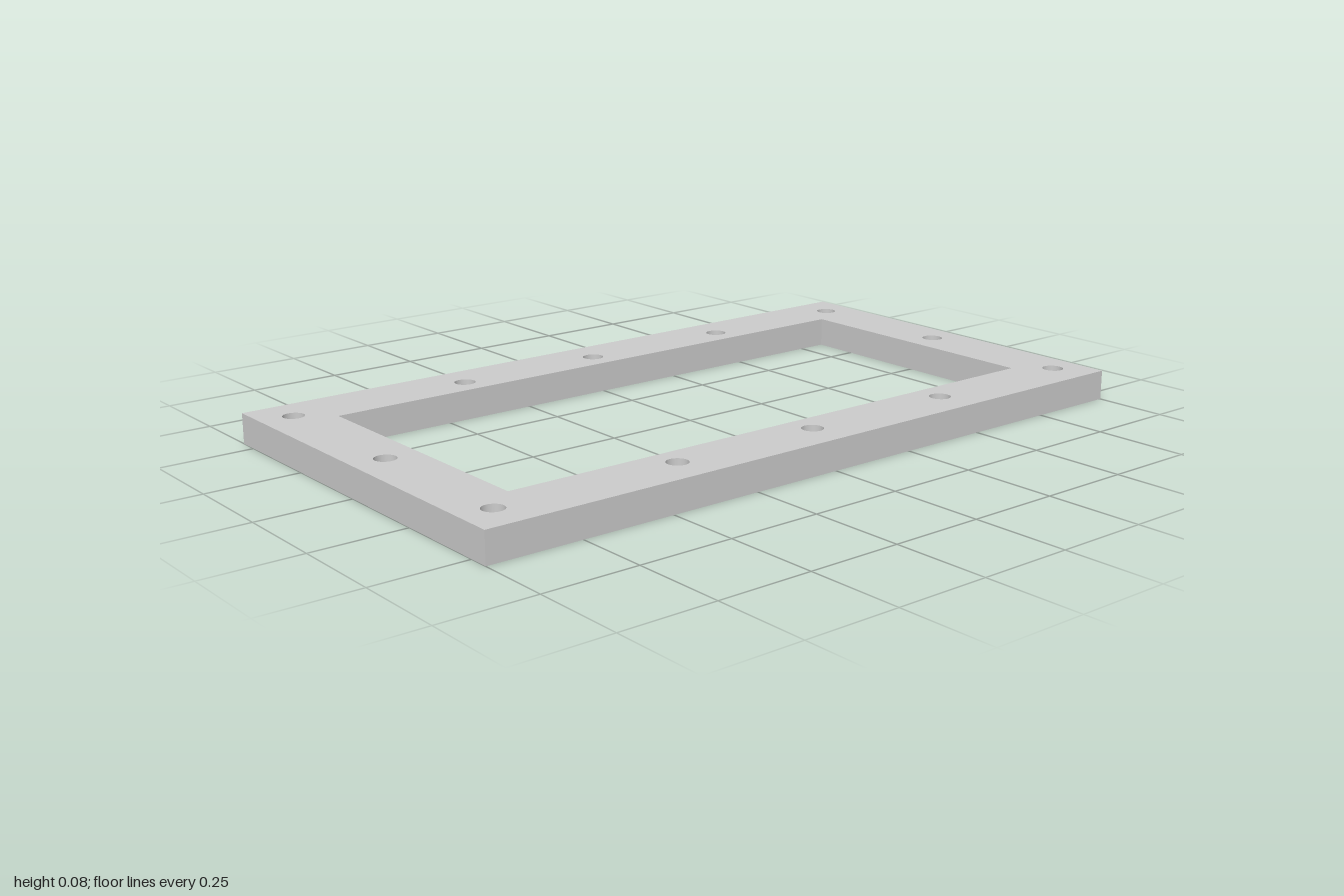
import * as THREE from 'three';

const THICKNESS = 0.08;
const HOLE_RADIUS = 0.028;

// Traces a rectangle; shape y is -z of the finished plate
function rectangle(path, halfWidth, zBack, zFront) {
  path.moveTo(-halfWidth, -zFront);
  path.lineTo(halfWidth, -zFront);
  path.lineTo(halfWidth, -zBack);
  path.lineTo(-halfWidth, -zBack);
  path.closePath();
  return path;
}

export function createModel() {
  const group = new THREE.Group();
  group.name = 'mountingFrame';

  // Outer outline and the large window
  const outline = rectangle(new THREE.Shape(), 0.553, -1, 1);
  outline.holes.push(rectangle(new THREE.Path(), 0.378, -0.83, 0.825));

  // Bolt holes: five along each long side, one in the middle of each end
  const boltHole = (x, z) =>
    outline.holes.push(new THREE.Path().absarc(x, -z, HOLE_RADIUS, 0, Math.PI * 2, true));
  for (const z of [-0.917, -0.468, -0.017, 0.407, 0.911]) {
    for (const x of [-0.45, 0.45]) boltHole(x, z);
  }
  for (const z of [-0.917, 0.911]) boltHole(0, z);

  // Flat frame, laid down on the ground plane
  const geometry = new THREE.ExtrudeGeometry(outline, {
    depth: THICKNESS,
    bevelEnabled: false,
    curveSegments: 32,
  });
  geometry.rotateX(-Math.PI / 2);

  const frame = new THREE.Mesh(geometry, new THREE.MeshStandardMaterial({ color: 0xcccccc }));
  frame.name = 'drilledFrame';
  group.add(frame);
  return group;
}
